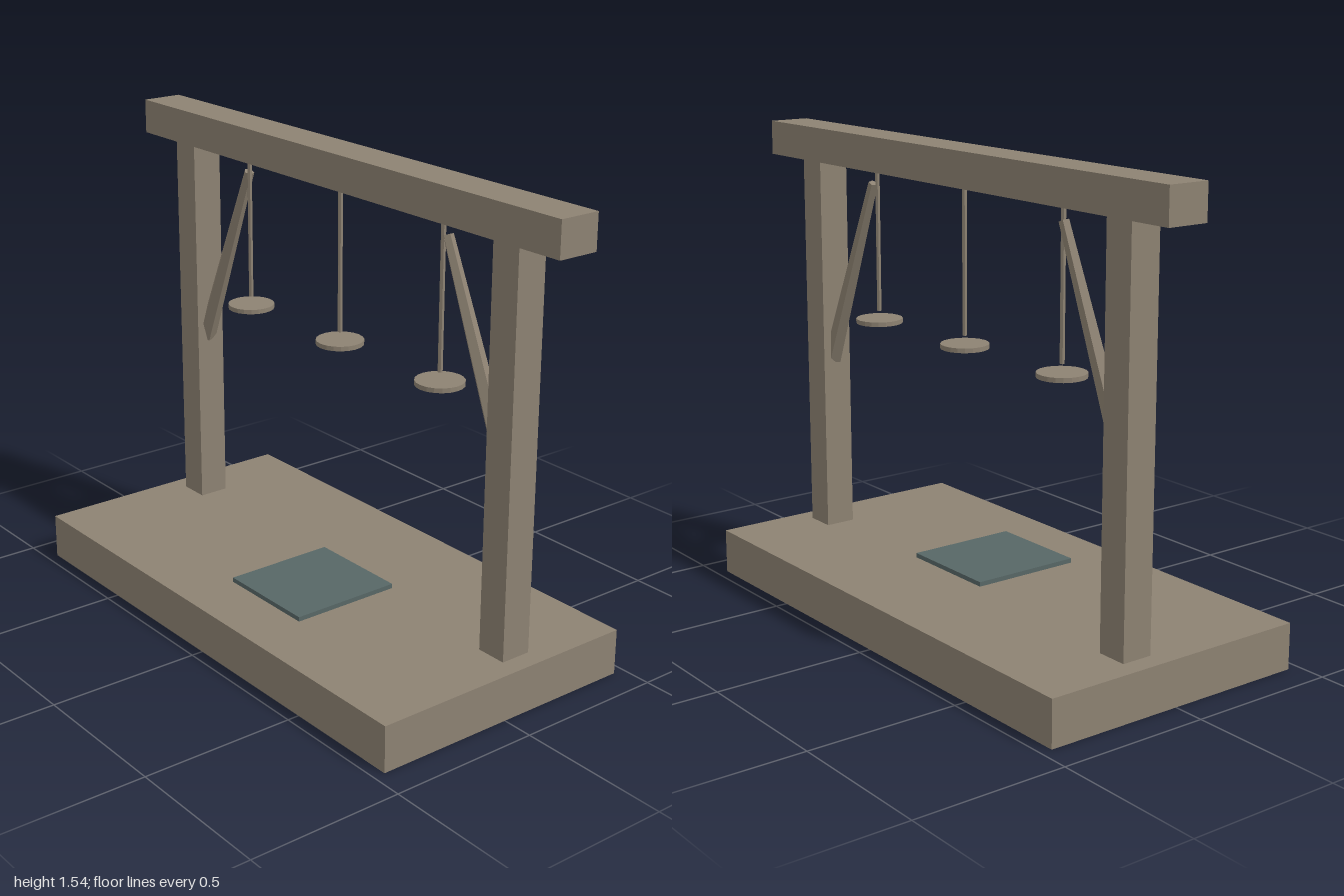
import * as THREE from 'three';

export function createModel() {
  const model = new THREE.Group();
  const wood = new THREE.MeshStandardMaterial({ color: 0x8d8272, flatShading: true });
  wood.name = 'weathered wood';
  const slate = new THREE.MeshStandardMaterial({ color: 0x576766, flatShading: true });
  slate.name = 'slate teal';

  const add = (name, geometry, material, x, y, z) => {
    const mesh = new THREE.Mesh(geometry, material);
    mesh.name = name;
    mesh.position.set(x, y, z);
    model.add(mesh);
    return mesh;
  };
  // Box given by its minimum and maximum corners
  const box = (name, material, [x0, y0, z0], [x1, y1, z1]) =>
    add(name, new THREE.BoxGeometry(x1 - x0, y1 - y0, z1 - z0), material,
      (x0 + x1) / 2, (y0 + y1) / 2, (z0 + z1) / 2);

  // Platform, hatch and top beam
  box('platform', wood, [-0.897, 0, -0.462], [0.897, 0.15, 0.462]);
  box('hatch', slate, [-0.09, 0.153, -0.1], [0.26, 0.168, 0.275]);
  box('topBeam', wood, [-1, 1.425, -0.17], [1, 1.538, -0.032]);

  // Posts with tapered diagonal braces
  const up = new THREE.Vector3(0, 1, 0);
  for (const s of [-1, 1]) {
    const side = s > 0 ? 'left' : 'right';
    add(side + 'Post', new THREE.BoxGeometry(0.103, 1.285, 0.103), wood, s * 0.781, 0.7875, -0.097);

    const foot = new THREE.Vector3(s * 0.752, 0.74, -0.097);
    const head = new THREE.Vector3(s * 0.487, 1.374, -0.097);
    const mid = foot.clone().add(head).multiplyScalar(0.5);
    const brace = add(side + 'Brace',
      new THREE.CylinderGeometry(0.017, 0.031, foot.distanceTo(head), 5), wood, mid.x, mid.y, mid.z);
    brace.quaternion.setFromUnitVectors(up, head.clone().sub(foot).normalize());
  }

  // Three hanging rods, each above a round disc
  ['right', 'middle', 'left'].forEach((place, i) => {
    const x = (i - 1) * 0.475;
    add(place + 'Rod', new THREE.CylinderGeometry(0.008, 0.008, 0.48, 6), wood, x, 1.192, -0.09);
    add(place + 'Disc', new THREE.CylinderGeometry(0.077, 0.077, 0.015, 20), wood, x, 0.92, -0.09);
  });

  return model;
}
